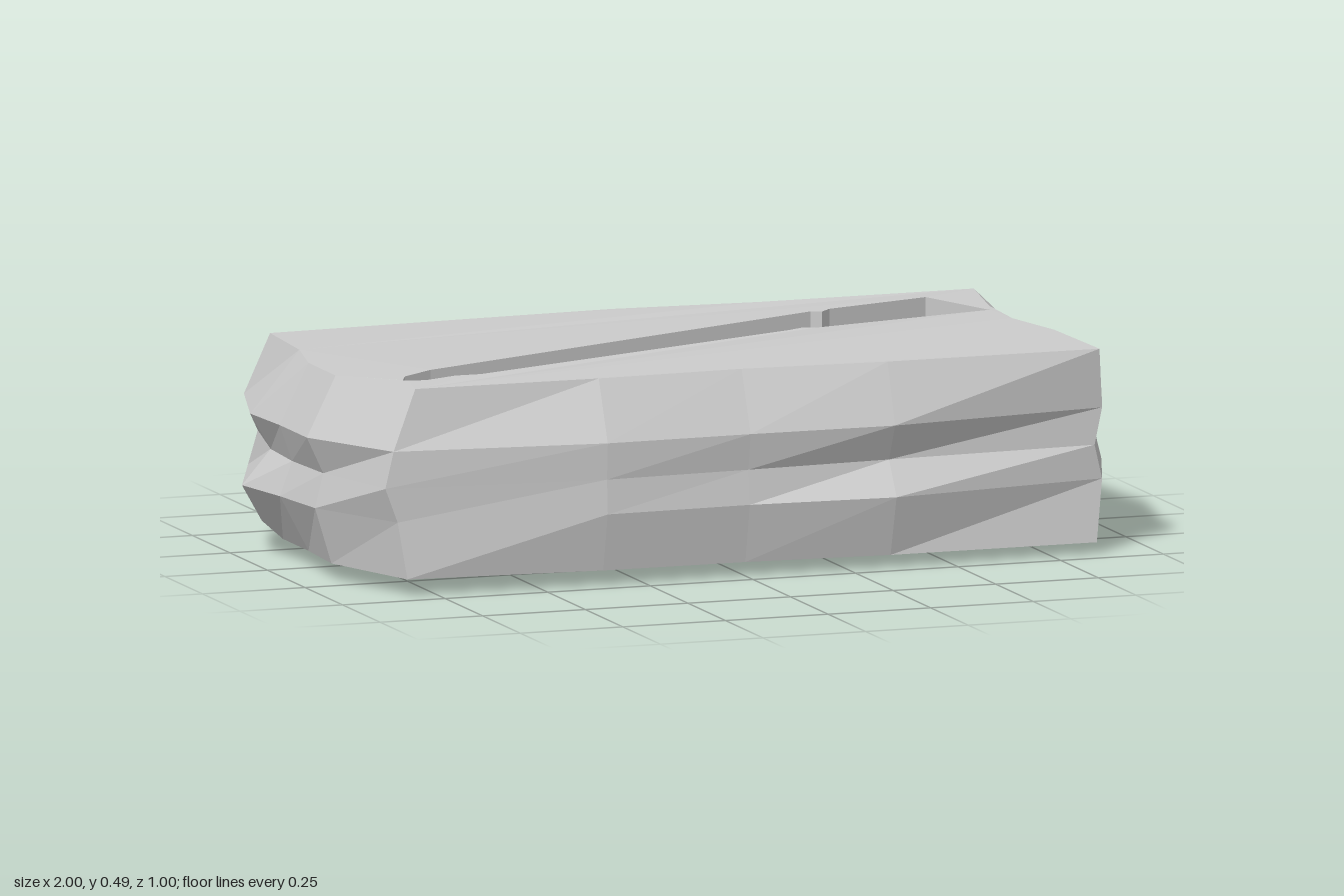
import * as THREE from 'three';

const material = new THREE.MeshStandardMaterial({ color: 0xcccccc, flatShading: true });

// Heights of the upper face, the underside edge and the recess floor
const topY = (x, z) => 0.472 + 0.018 * Math.max(0, 1 - x * x) * Math.max(0, 1 - z * z * 4);
const rimY = (x) => 0.025 + 0.015 * (0.5 - x * 0.5);
const floorY = (x, z) => topY(x, z) - (x < -0.7 ? 0.03 : 0.055);

// Cross-section levels, bottom to top: corners [x, z] from front right-hand end
// anticlockwise, and the outward position of three points along each side
const levels = [
  { corners: [[-0.82, 0.44], [0.86, 0.44], [0.87, -0.455], [-0.86, -0.42]],
    front: [0.46, 0.45, 0.46], left: [0.9, 0.92, 0.89],
    back: [-0.46, -0.45, -0.46], right: [-0.9, -0.9, -0.91] },
  { y: 0.17, corners: [[-0.84, 0.43], [0.88, 0.42], [0.9, -0.43], [-0.89, -0.43]],
    front: [0.49, 0.48, 0.5], left: [0.97, 0.98, 0.97],
    back: [-0.5, -0.48, -0.49], right: [-1, -0.97, -0.95] },
  { y: 0.25, corners: [[-0.87, 0.43], [0.86, 0.425], [0.86, -0.43], [-0.87, -0.42]],
    front: [0.485, 0.47, 0.45], left: [0.95, 0.96, 0.88],
    back: [-0.46, -0.46, -0.44], right: [-0.93, -0.94, -0.93] },
  { y: 0.335, corners: [[-0.85, 0.43], [0.88, 0.42], [0.9, -0.435], [-0.9, -0.43]],
    front: [0.49, 0.485, 0.49], left: [0.97, 1, 0.98],
    back: [-0.49, -0.5, -0.5], right: [-0.98, -0.97, -0.97] },
  { corners: [[-0.79, 0.41], [0.87, 0.43], [0.88, -0.435], [-0.84, -0.42]],
    front: [0.43, 0.425, 0.44], left: [0.855, 0.815, 0.825],
    back: [-0.41, -0.445, -0.43], right: [-0.86, -0.9, -0.9] },
];

// Outline of the blade-shaped recess [x, z]
const recess = [
  [-0.78, 0.3], [-0.76, 0.26], [-0.68, 0.21], [0.4, -0.21], [0.425, -0.2],
  [0.455, -0.235], [0.73, -0.345], [0.805, -0.125], [0.33, 0.02], [0.3, 0.01],
  [0.255, 0.035], [-0.59, 0.3], [-0.65, 0.295], [-0.73, 0.32], [-0.77, 0.31],
];

// One closed ring of 16 [x, z] points: each corner followed by its side
function ring(level) {
  const { corners: c, front, left, back, right } = level;
  const along = [-0.35, 0, 0.35];
  const across = [0.17, 0, -0.18];
  return [
    c[0], ...front.map((z, i) => [along[i], z]),
    c[1], ...left.map((x, i) => [x, across[i]]),
    c[2], ...back.map((z, i) => [-along[i], z]),
    c[3], ...right.map((x, i) => [x, -across[i]]),
  ];
}

const lift = (points, height) => points.map(([x, z]) => [x, height(x, z), z]);

// Faceted skin through closed rings stacked from bottom to top
function skin(rings) {
  const positions = [];
  for (let r = 0; r < rings.length - 1; r++) {
    const n = rings[r].length;
    for (let i = 0; i < n; i++) {
      const j = (i + 1) % n;
      const a = rings[r][i], b = rings[r][j], c = rings[r + 1][j], d = rings[r + 1][i];
      positions.push(...a, ...b, ...c, ...a, ...c, ...d);
    }
  }
  const geometry = new THREE.BufferGeometry();
  geometry.setAttribute('position', new THREE.Float32BufferAttribute(positions, 3));
  geometry.computeVertexNormals();
  return geometry;
}

// Upward face from an outline, with an optional hole, draped to a height rule
function face(outline, height, hole) {
  const toPoints = (list) => list.map(([x, z]) => new THREE.Vector2(x, -z));
  const shape = new THREE.Shape(toPoints(outline));
  if (hole) shape.holes.push(new THREE.Path(toPoints(hole)));
  const geometry = new THREE.ShapeGeometry(shape).rotateX(-Math.PI / 2);
  const p = geometry.attributes.position;
  for (let i = 0; i < p.count; i++) p.setY(i, height(p.getX(i), p.getZ(i)));
  geometry.computeVertexNormals();
  return geometry;
}

export function createModel() {
  const group = new THREE.Group();
  group.name = 'stoneMould';
  const add = (name, geometry) => {
    const mesh = new THREE.Mesh(geometry, material);
    mesh.name = name;
    group.add(mesh);
  };

  const outlines = levels.map(ring);
  const last = levels.length - 1;
  const shrink = (s) => outlines[0].map(([x, z]) => [x * s, z * s]);

  // Rough sides and the slightly bellied underside
  add('stoneBody', skin([
    lift(shrink(0), () => 0),
    lift(shrink(0.4), () => 0.002),
    ...outlines.map((points, i) =>
      lift(points, i === 0 ? rimY : i === last ? topY : () => levels[i].y)),
  ]));

  // Upper face cut by the recess
  add('topFace', face(outlines[last], topY, recess));

  // Recess walls and floor
  add('recessWalls', skin([lift(recess, floorY), lift(recess, topY)]));
  add('recessFloor', face(recess, floorY));

  return group;
}
